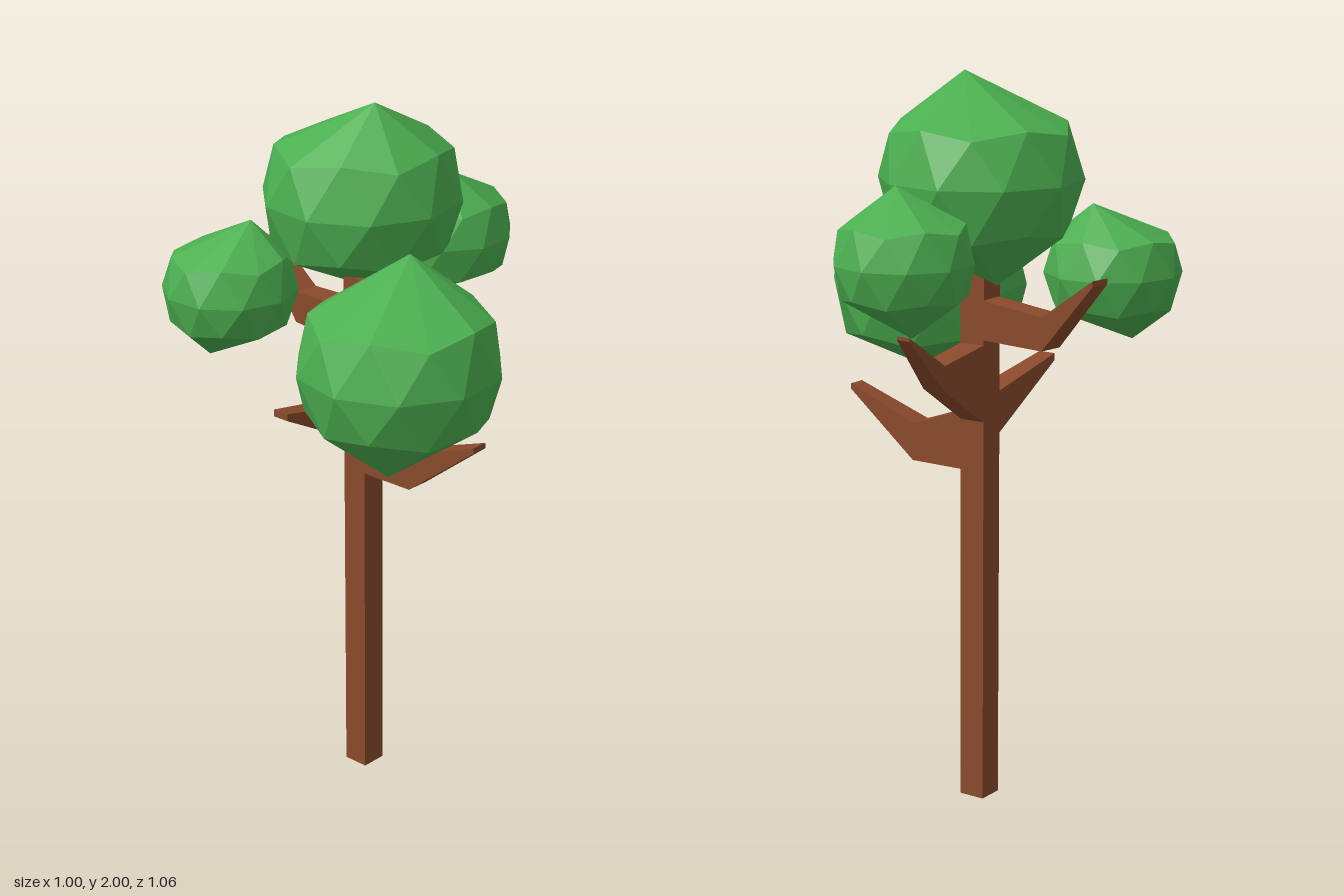
import * as THREE from 'three';
import { ConvexGeometry } from 'three/addons/geometries/ConvexGeometry.js';

const TRUNK_Z = -0.1175;
const TURN = 0.337; // trunk twist about its axis

const bark = new THREE.MeshStandardMaterial({ color: 0x8a4a2c, flatShading: true });
const leaf = new THREE.MeshStandardMaterial({ color: 0x4caf50, flatShading: true });

// Leaf ball: poles pushed sideways, three ten-sided rings between them
function crown(name, x, y, z, r, azimuth) {
  const pts = [];
  const add = (rad, h, a) => pts.push(new THREE.Vector3(Math.sin(a) * rad, h, Math.cos(a) * rad).multiplyScalar(r));
  add(0.32, 1, 0);
  add(0.32, -1, Math.PI);
  for (let i = 0; i < 10; i++) {
    const a = (i * Math.PI) / 5;
    const even = i % 2 === 0;
    add(even ? 0.894 : 0.851, even ? 0.447 : 0.526, a);
    add(1, 0, a + Math.PI / 10);
    add(even ? 0.851 : 0.894, even ? -0.526 : -0.447, a);
  }
  const mesh = new THREE.Mesh(new ConvexGeometry(pts), leaf);
  mesh.name = name;
  mesh.position.set(x, y, z);
  mesh.rotation.y = azimuth;
  return mesh;
}

// Branch: upright four-sided sections [distance out, low, high, half width]
function branch(name, azimuth, sections) {
  const pos = [];
  const index = [];
  for (const [d, lo, hi, w] of sections) {
    pos.push(-w, lo, d, w, lo, d, w, hi, d, -w, hi, d);
  }
  for (let i = 0; i < sections.length - 1; i++) {
    for (let j = 0; j < 4; j++) {
      const a = i * 4 + j;
      const b = i * 4 + ((j + 1) % 4);
      index.push(a, b, b + 4, a, b + 4, a + 4);
    }
  }
  const e = (sections.length - 1) * 4;
  index.push(e, e + 1, e + 2, e, e + 2, e + 3);
  const indexed = new THREE.BufferGeometry();
  indexed.setAttribute('position', new THREE.Float32BufferAttribute(pos, 3));
  indexed.setIndex(index);
  const geo = indexed.toNonIndexed();
  geo.computeVertexNormals();
  const mesh = new THREE.Mesh(geo, bark);
  mesh.name = name;
  mesh.position.z = TRUNK_Z;
  mesh.rotation.y = azimuth;
  return mesh;
}

export function createModel() {
  const tree = new THREE.Group();
  tree.name = 'tree';

  // Square trunk reaching up into the top crown
  const trunk = new THREE.Mesh(new THREE.BoxGeometry(0.075, 1.5, 0.075), bark);
  trunk.name = 'trunk';
  trunk.position.set(0, 0.75, TRUNK_Z);
  trunk.rotation.y = TURN;
  tree.add(trunk);

  // One branch from each side of the trunk
  tree.add(
    branch('frontBranch', TURN, [
      [0, 0.935, 1.11, 0.037], [0.2, 0.935, 1.04, 0.035], [0.42, 1.105, 1.12, 0.025],
    ]),
    branch('leftBranch', TURN + Math.PI / 2, [
      [0, 1.05, 1.29, 0.037], [0.21, 1.19, 1.26, 0.035], [0.345, 1.345, 1.355, 0.02],
    ]),
    branch('rightBranch', TURN - Math.PI / 2, [
      [0, 1.01, 1.14, 0.037], [0.325, 1.18, 1.2, 0.025],
    ]),
    branch('backBranch', Math.PI + 0.2, [
      [0, 1.3, 1.41, 0.037], [0.25, 1.3, 1.39, 0.036], [0.415, 1.49, 1.505, 0.029],
    ]),
  );

  // Leaf crowns
  tree.add(
    crown('topCrown', 0, 1.727, -0.12, 0.275, -0.1),
    crown('frontCrown', -0.095, 1.385, 0.258, 0.277, 2.32),
    crown('leftCrown', 0.313, 1.547, -0.217, 0.188, -0.25),
    crown('rightCrown', -0.318, 1.467, -0.283, 0.187, 1.3),
  );
  return tree;
}
